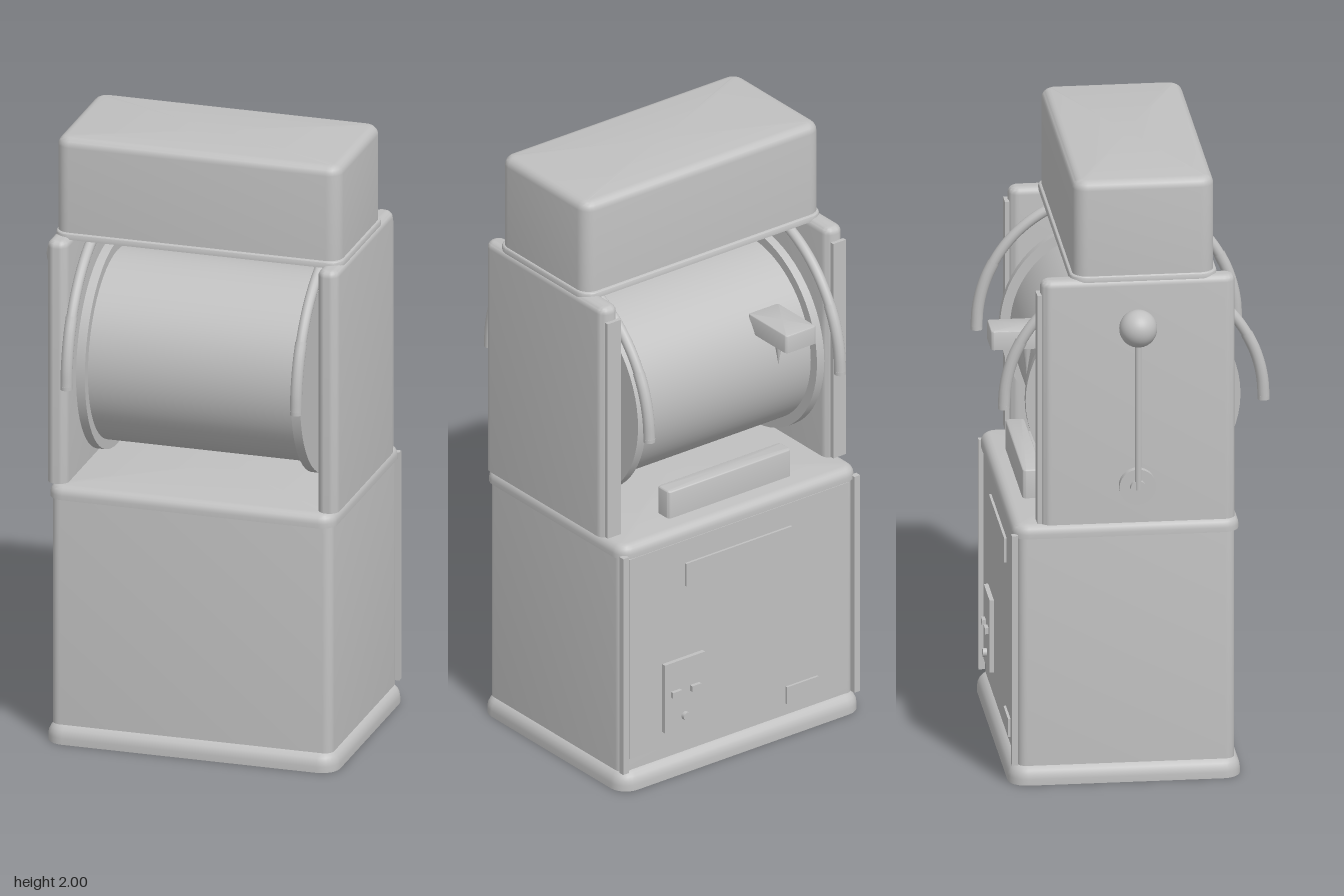
import * as THREE from 'three';
import { toCreasedNormals } from 'three/addons/utils/BufferGeometryUtils.js';

const grey = new THREE.MeshStandardMaterial({ color: 0xc0c0c0 });
grey.name = 'light grey';

// Block with rounded vertical corners, a rounded top edge and a flat bottom.
function roundedBlock(w, h, d, corner, top) {
  const arc = 6, steps = 5, pos = [], idx = [], n = 4 * (arc + 1);
  const ring = (inset, y) => {
    const r = Math.max(corner - inset, 0.002);
    for (let q = 0; q < 4; q++) {
      const sx = q === 0 || q === 3 ? 1 : -1, sz = q < 2 ? 1 : -1;
      for (let k = 0; k <= arc; k++) {
        const a = (q + k / arc) * Math.PI / 2;
        pos.push(sx * (w / 2 - inset - r) + r * Math.cos(a), y,
          sz * (d / 2 - inset - r) + r * Math.sin(a));
      }
    }
  };
  ring(0, 0);
  for (let i = 0; i <= steps; i++) {
    const a = i / steps * Math.PI / 2;
    ring(top * (1 - Math.cos(a)), h - top + top * Math.sin(a));
  }
  const last = steps + 1;
  for (let j = 0; j < last; j++) {
    for (let k = 0; k < n; k++) {
      const a = j * n + k, b = j * n + (k + 1) % n;
      idx.push(a, a + n, b, b, a + n, b + n);
    }
  }
  // bottom and top caps
  const c = pos.length / 3;
  pos.push(0, 0, 0, 0, h, 0);
  for (let k = 0; k < n; k++) {
    const m = (k + 1) % n;
    idx.push(c, k, m, c + 1, last * n + m, last * n + k);
  }
  const g = new THREE.BufferGeometry();
  g.setAttribute('position', new THREE.Float32BufferAttribute(pos, 3));
  g.setIndex(idx);
  return toCreasedNormals(g, 0.6);
}

export function createModel() {
  const model = new THREE.Group();
  model.name = 'drumMachine';

  const add = (name, geometry, x = 0, y = 0, z = 0) => {
    const mesh = new THREE.Mesh(geometry, grey);
    mesh.name = name;
    mesh.position.set(x, y, z);
    model.add(mesh);
    return mesh;
  };
  // Rounded block and plain box given by their extents
  const block = (name, x0, x1, y0, y1, z0, z1, corner, top) =>
    add(name, roundedBlock(x1 - x0, y1 - y0, z1 - z0, corner, top), (x0 + x1) / 2, y0, (z0 + z1) / 2);
  const box = (name, x0, x1, y0, y1, z0, z1) =>
    add(name, new THREE.BoxGeometry(x1 - x0, y1 - y0, z1 - z0), (x0 + x1) / 2, (y0 + y1) / 2, (z0 + z1) / 2);
  const disc = (name, r, x0, x1, y, z) =>
    add(name, new THREE.CylinderGeometry(r, r, x1 - x0, 64), (x0 + x1) / 2, y, z).rotation.z = Math.PI / 2;

  // Lower cabinet
  block('plinth', -0.435, 0.525, 0, 0.065, -0.4, 0.335, 0.06, 0.045);
  block('cabinet', -0.418, 0.508, 0.06, 0.825, -0.372, 0.315, 0.03, 0.005);
  block('counterTop', -0.427, 0.517, 0.818, 0.862, -0.388, 0.33, 0.05, 0.03);

  // Back of the cabinet
  box('backStripRight', -0.425, -0.402, 0.065, 0.83, -0.392, -0.372);
  box('backStripLeft', 0.492, 0.515, 0.065, 0.83, -0.392, -0.372);
  box('backPanel', -0.39, 0.48, 0.105, 0.81, -0.378, -0.37);
  box('slotPlate', -0.16, 0.26, 0.65, 0.73, -0.386, -0.37);
  box('switchPlate', 0.19, 0.35, 0.16, 0.4, -0.392, -0.37);
  for (const x of [0.232, 0.308]) box('switch', x - 0.018, x + 0.018, 0.28, 0.3, -0.404, -0.39);
  add('knob', new THREE.CylinderGeometry(0.014, 0.014, 0.016, 20), 0.27, 0.2, -0.397).rotation.x = Math.PI / 2;
  box('backTag', -0.265, -0.14, 0.105, 0.165, -0.386, -0.37);

  // Upper side panels with thin back plates
  block('sidePanelRight', -0.435, -0.367, 0.865, 1.675, -0.3, 0.315, 0.033, 0.022);
  block('sidePanelLeft', 0.457, 0.525, 0.865, 1.675, -0.3, 0.315, 0.033, 0.022);
  box('panelPlateRight', -0.43, -0.38, 0.87, 1.63, -0.312, -0.298);
  box('panelPlateLeft', 0.462, 0.515, 0.87, 1.63, -0.312, -0.298);

  // Head
  block('headTrim', -0.43, 0.52, 1.667, 1.687, -0.206, 0.26, 0.05, 0.008);
  block('head', -0.425, 0.513, 1.675, 2, -0.196, 0.25, 0.045, 0.03);

  // Drum with end flanges
  const axleY = 1.243;
  disc('drum', 0.308, -0.3, 0.39, axleY, 0.003);
  disc('flangeRight', 0.34, -0.325, -0.296, axleY, 0.003);
  disc('flangeLeft', 0.34, 0.384, 0.414, axleY, 0.003);

  // Arched rails over the drum ends, with grips
  const arch = [];
  for (let i = 0; i <= 24; i++) {
    const a = i / 24 * Math.PI;
    arch.push(new THREE.Vector3(0, 1.235 + 0.425 * Math.sin(a), 0.004 + 0.411 * Math.cos(a)));
  }
  const archCurve = new THREE.CatmullRomCurve3(arch);
  for (const x of [-0.334, 0.423]) {
    add('archRail', new THREE.TubeGeometry(archCurve, 64, 0.017, 14), x);
    for (const end of [0, 1]) {
      const s = arch.slice(end ? 20 : 0, end ? 25 : 5);
      add('railGrip', new THREE.TubeGeometry(new THREE.CatmullRomCurve3(s), 12, 0.019, 14), x);
      add('railEnd', new THREE.CylinderGeometry(0.019, 0.019, 0.012, 14), x, 1.231, 0.004 + (end ? -0.411 : 0.411));
    }
  }

  // Side lever
  disc('leverPivot', 0.058, -0.458, -0.43, 0.99, 0.003);
  disc('leverHub', 0.025, -0.475, -0.45, 0.99, 0.003);
  add('leverRod', new THREE.CylinderGeometry(0.011, 0.011, 0.5, 16), -0.467, 1.235, 0.003);
  add('leverBall', new THREE.SphereGeometry(0.06, 32, 20), -0.467, 1.522, 0.003);

  // Pointer at the back of the drum, and tray bar below it
  block('pointerBox', -0.22, -0.1, 1.38, 1.442, -0.434, -0.235, 0.01, 0.006);
  add('pointerTip', new THREE.ConeGeometry(0.018, 0.11, 16), -0.16, 1.33, -0.315).rotation.x = Math.PI;
  block('trayBar', -0.2, 0.288, 0.875, 0.97, -0.332, -0.27, 0.012, 0.008);

  return model;
}
